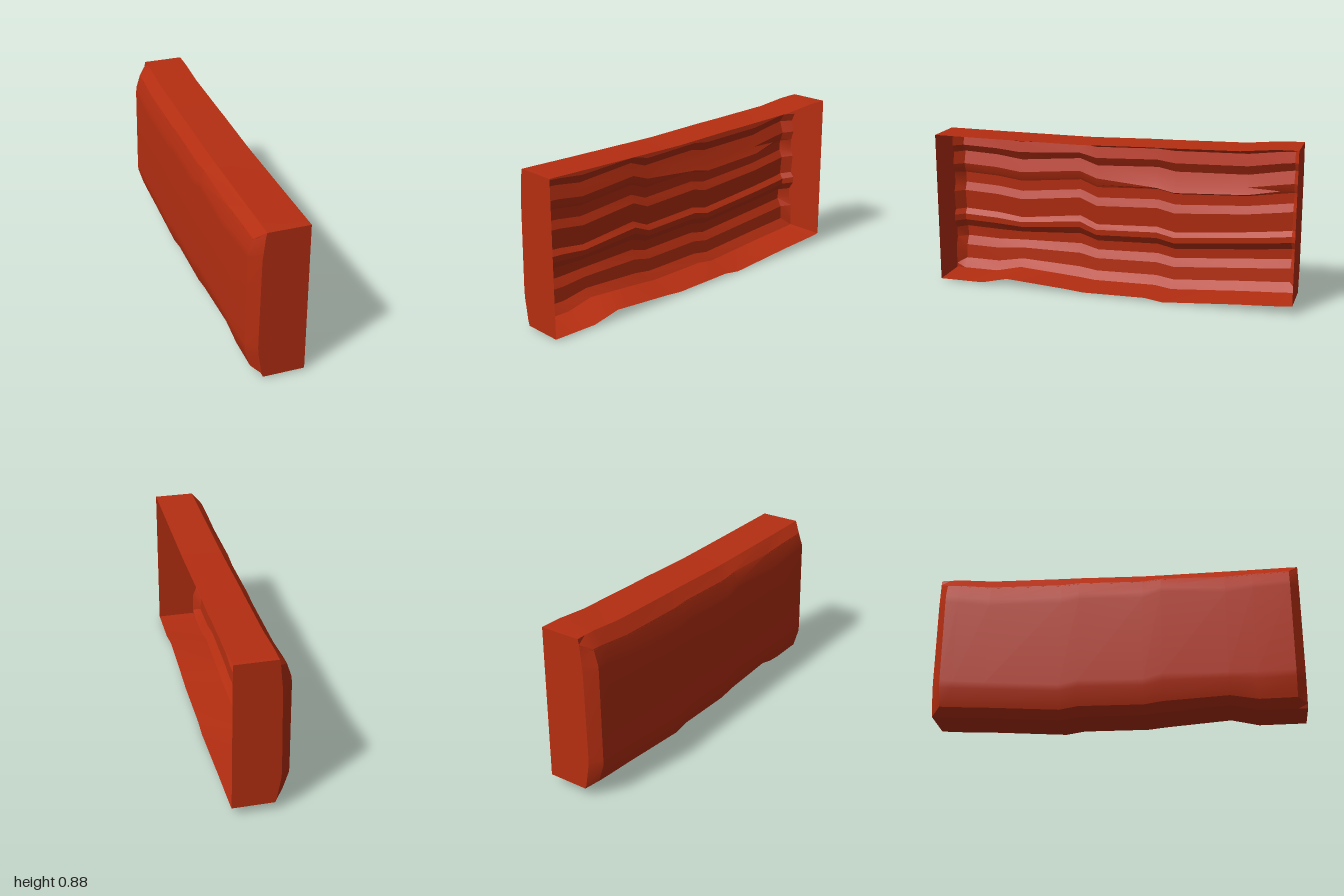
import * as THREE from 'three';
import { toCreasedNormals } from 'three/addons/utils/BufferGeometryUtils.js';

const OPEN_X = 0.15, EDGE_X = -0.07, BOTTOM = 0.01, TOP = 0.845;

// Stations along the length, and how far the grain drifts up or down at each.
const Z = [1, 0.95, 0.75, 0.6, 0.25, 0.15, -0.2, -0.3, -0.7, -0.88, -0.95, -1];
const DRIFT = [
  { y: BOTTOM, d: [0, 0, 0, 0.035, 0.01, 0, 0.005, -0.01, 0.02, 0.03, 0.035, 0.04] },
  { y: 0.36, d: [0, 0, -0.01, -0.03, 0.01, -0.035, -0.02, -0.045, -0.01, 0.01, 0.02, 0.03] },
  { y: 0.7, d: [0, 0, -0.01, -0.03, 0, -0.035, -0.02, -0.04, -0.03, 0, 0.01, 0.015] },
  { y: TOP, d: [0, 0, -0.002, -0.003, -0.005, -0.005, 0.005, 0.006, 0.015, 0.033, 0.035, 0.035] },
];

// Height of a grain line at a station.
function drifted(y, j) {
  let k = 0;
  while (k < DRIFT.length - 2 && y > DRIFT[k + 1].y) k++;
  const a = DRIFT[k], b = DRIFT[k + 1];
  return y + THREE.MathUtils.lerp(a.d[j], b.d[j], (y - a.y) / (b.y - a.y));
}

// Profile rows, bottom to top: [y, x along the length, x at the end walls].
const BACK = [
  [BOTTOM, EDGE_X, EDGE_X], [0.055, -0.12, -0.078], [0.16, -0.151, -0.098],
  [0.2, -0.152, -0.1], [0.7, -0.147, -0.09], [0.73, -0.144, -0.086],
  [0.795, -0.12, -0.076], [TOP, EDGE_X, EDGE_X],
];
const GRAIN = [
  [BOTTOM, EDGE_X, EDGE_X], [0.06, -0.108, -0.07], [0.14, -0.112, -0.07],
  [0.19, -0.138, -0.09], [0.25, -0.135, -0.088], [0.295, -0.105, -0.06],
  [0.33, -0.103, -0.06], [0.36, -0.125, -0.08], [0.47, -0.115, -0.07],
  [0.515, -0.135, -0.088], [0.575, -0.133, -0.086], [0.59, -0.125, -0.082],
  [0.63, -0.113, -0.07], [0.7, -0.135, -0.085], [0.74, -0.108, -0.066],
  [0.79, -0.122, -0.074], [TOP, EDGE_X, EDGE_X],
];
const SPLIT_ROW = 11; // upper lip of the long split in the grain

function profilePoint(rows, i, j) {
  let [y, x, xEnd] = rows[i];
  const atEnd = j === 0 || j === Z.length - 1;
  // bevel rows run into the corners as a mitre
  if (atEnd && i === 1) y = (y + BOTTOM) / 2;
  if (atEnd && i === rows.length - 2) y = (y + TOP) / 2;
  let px = atEnd ? xEnd : x;
  if (rows === GRAIN && i === SPLIT_ROW && Z[j] < 0.1 && Z[j] > -0.85) px += 0.03;
  return [px, drifted(y, j), Z[j]];
}

// Surface from a grid of points; it faces di x dj.
function grid(ni, nj, point, flip = false) {
  const pos = [], index = [];
  for (let i = 0; i < ni; i++) for (let j = 0; j < nj; j++) pos.push(...point(i, j));
  for (let i = 0; i < ni - 1; i++) {
    for (let j = 0; j < nj - 1; j++) {
      const a = i * nj + j, b = a + nj, c = a + 1, d = b + 1;
      if (flip) index.push(a, c, b, b, c, d);
      else index.push(a, b, c, b, d, c);
    }
  }
  const g = new THREE.BufferGeometry();
  g.setAttribute('position', new THREE.Float32BufferAttribute(pos, 3));
  g.setIndex(index);
  return toCreasedNormals(g, 0.35);
}

export function createModel() {
  const group = new THREE.Group();
  group.name = 'plankShell';
  const material = new THREE.MeshStandardMaterial({ color: 0xb52e11, side: THREE.DoubleSide });
  const add = (name, geometry) => {
    const mesh = new THREE.Mesh(geometry, material);
    mesh.name = name;
    group.add(mesh);
  };
  const n = Z.length;

  // Smooth bevelled back and the ridged wood grain inside it
  add('back', grid(BACK.length, n, (i, j) => profilePoint(BACK, i, j)));
  add('woodGrain', grid(GRAIN.length, n, (i, j) => profilePoint(GRAIN, i, j), true));

  // Long walls
  const longWall = (y, flip) =>
    grid(2, n, (i, j) => [i ? OPEN_X : EDGE_X, drifted(y, j), Z[j]], flip);
  add('topWall', longWall(TOP, false));
  add('bottomWall', longWall(BOTTOM, true));

  // End walls, following the back profile
  const endWall = (j, flip) => grid(2, BACK.length, (i, k) => {
    const p = profilePoint(BACK, k, j);
    return i ? [OPEN_X, p[1], p[2]] : p;
  }, flip);
  add('frontEndWall', endWall(0, false));
  add('rearEndWall', endWall(n - 1, true));

  return group;
}
